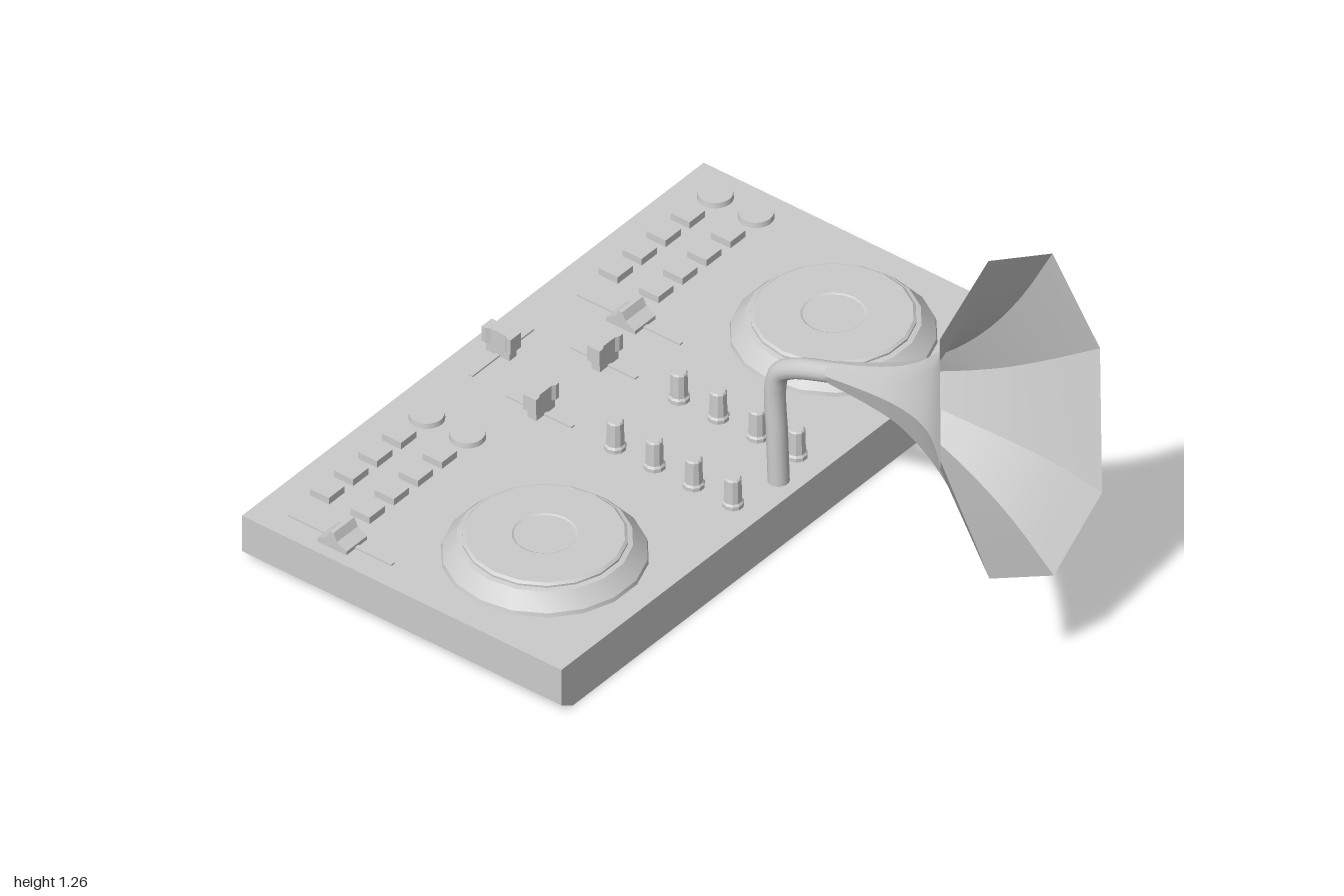
import * as THREE from 'three';
import { toCreasedNormals } from 'three/addons/utils/BufferGeometryUtils.js';

const TOP = 0.15; // height of the control surface
const v2 = (pts) => pts.map(([x, y]) => new THREE.Vector2(x, y));
const v3 = (pts) => pts.map((p) => new THREE.Vector3(...p));

function extrude(points, depth) {
  return new THREE.ExtrudeGeometry(new THREE.Shape(v2(points)), { depth, bevelEnabled: false });
}

// Eight creased panels, swept through top edge, bottom edge and half width
function hornGeometry() {
  const top = new THREE.CatmullRomCurve3(v3([[0.23, 0.655, 0], [0.36, 0.705, 0], [0.48, 0.765, 0],
    [0.58, 0.845, 0], [0.67, 0.96, 0], [0.73, 1.09, 0], [0.775, 1.26, 0]]));
  const bottom = new THREE.CatmullRomCurve3(v3([[0.245, 0.595, 0], [0.375, 0.597, 0], [0.51, 0.59, 0],
    [0.63, 0.55, 0], [0.74, 0.497, 0], [0.86, 0.42, 0], [1.0, 0.3, 0]]));
  const side = new THREE.CatmullRomCurve3(v3([[0.238, 0.632, 0.032], [0.368, 0.667, 0.055],
    [0.495, 0.702, 0.085], [0.605, 0.733, 0.125], [0.705, 0.76, 0.18], [0.795, 0.785, 0.255], [0.885, 0.81, 0.345]]));
  const steps = 18;
  const pos = [];
  const index = [];
  const corner = (t, k) => {
    const a = (k * Math.PI) / 4;
    const s = side.getPoint(t);
    const c = new THREE.Vector3(s.x, s.y, 0);
    const end = (Math.cos(a) >= 0 ? top : bottom).getPoint(t);
    const f = k % 2 ? 0.76 : Math.abs(Math.cos(a));
    const p = c.clone().lerp(end, f);
    p.z = s.z * Math.sin(a);
    return p;
  };
  for (let k = 0; k < 8; k++) {
    const base = pos.length / 3;
    for (let i = 0; i <= steps; i++) {
      pos.push(...corner(i / steps, k).toArray(), ...corner(i / steps, k + 1).toArray());
      if (i === steps) continue;
      const a = base + i * 2;
      index.push(a, a + 1, a + 2, a + 1, a + 3, a + 2);
    }
  }
  const g = new THREE.BufferGeometry();
  g.setAttribute('position', new THREE.Float32BufferAttribute(pos, 3));
  g.setIndex(index);
  g.computeVertexNormals();
  return g;
}

export function createModel() {
  const model = new THREE.Group();
  model.name = 'mixerWithHorn';
  const grey = new THREE.MeshStandardMaterial({ color: 0xcccccc });
  const flat = new THREE.MeshStandardMaterial({ color: 0xcccccc, flatShading: true });
  const open = new THREE.MeshStandardMaterial({ color: 0xcccccc, side: THREE.DoubleSide });
  const add = (name, geometry, x = 0, y = 0, z = 0, material = flat, parent = model) => {
    const m = new THREE.Mesh(geometry, material);
    m.name = name;
    m.position.set(x, y, z);
    parent.add(m);
    return m;
  };

  // Case, with its lower long ends chamfered
  const body = extrude([[-0.95, 0], [0.95, 0], [1, 0.03], [1, TOP], [-1, TOP], [-1, 0.03]], 1.1);
  body.rotateY(Math.PI / 2);
  add('case', body, -1, 0, 0);

  // Shared control shapes
  const platter = new THREE.LatheGeometry(v2([[0.283, 0], [0.28, 0.012], [0.24, 0.055], [0.226, 0.058],
    [0.226, 0.064], [0.218, 0.07], [0.09, 0.07], [0.085, 0.067], [0, 0.067]]), 18);
  const platterSmooth = toCreasedNormals(platter, 0.45);
  const pad = new THREE.BoxGeometry(0.066, 0.022, 0.066);
  const button = toCreasedNormals(new THREE.CylinderGeometry(0.048, 0.05, 0.016, 24), 0.6);
  const knob = new THREE.LatheGeometry(v2([[0.031, 0], [0.031, 0.012], [0.026, 0.018],
    [0.024, 0.09], [0.02, 0.095], [0, 0.095]]), 10);

  // Pitch slider cap: ridge profile running across the slot
  const ridge = extrude([[-0.05, 0], [0.05, 0], [0.05, 0.012], [0.018, 0.03], [0.006, 0.055],
    [-0.006, 0.055], [-0.018, 0.03], [-0.05, 0.012]], 0.09).translate(0, 0, -0.045);

  // Fader cap: waisted plan drawn upward, on a narrow stem
  const cap = extrude([[-0.022, -0.05], [0.022, -0.05], [0.022, -0.036], [0.015, -0.025], [0.015, 0.025],
    [0.022, 0.036], [0.022, 0.05], [-0.022, 0.05], [-0.022, 0.036], [-0.015, 0.025],
    [-0.015, -0.025], [-0.022, -0.036]], 0.05).rotateX(-Math.PI / 2).translate(0, 0.03, 0);
  const stem = new THREE.BoxGeometry(0.03, 0.03, 0.08).translate(0, 0.015, 0);
  const slot = (length) => new THREE.BoxGeometry(length, 0.006, 0.014);

  // Two identical decks
  for (const [name, z] of [['backDeck', -0.625], ['frontDeck', 0.625]]) {
    const deck = new THREE.Group();
    deck.name = name;
    deck.position.set(0, TOP, z);
    model.add(deck);
    add('platter', platterSmooth, -0.255, 0, 0, grey, deck);
    for (const x of [-0.88, -0.74]) {
      add('roundButton', button, x, 0.008, -0.275, grey, deck);
      for (let i = 0; i < 4; i++) add('pad', pad, x, 0.011, -0.155 + i * 0.104, flat, deck);
    }
    add('pitchSlot', slot(0.355), -0.723, 0.002, 0.293, flat, deck);
    add('pitchSlider', ridge, -0.72, 0, 0.293, flat, deck);
  }

  // Centre mixer: knobs, channel faders and crossfader
  for (const z of [-0.138, 0.138]) {
    for (let i = 0; i < 4; i++) add('knob', knob, -0.4 + i * 0.135, TOP, z);
    add('channelSlot', slot(0.225), -0.658, TOP + 0.002, z);
    add('channelStem', stem, -0.655, TOP, z);
    add('channelFader', cap, -0.655, TOP, z);
  }
  const cross = new THREE.Group();
  cross.name = 'crossfader';
  cross.position.set(-0.902, TOP, 0);
  cross.rotation.y = Math.PI / 2;
  model.add(cross);
  add('crossSlot', slot(0.265), 0, 0.002, 0, flat, cross);
  add('crossStem', stem, 0, 0, 0, flat, cross);
  add('crossCap', cap, 0, 0, 0, flat, cross);

  // Bent neck carrying the horn
  const path = new THREE.CatmullRomCurve3(v3([[0.053, 0.172, 0], [0.047, 0.33, 0], [0.041, 0.48, 0],
    [0.056, 0.54, 0], [0.105, 0.577, 0], [0.25, 0.632, 0]]));
  add('neck', new THREE.TubeGeometry(path, 36, 0.03, 14), 0, 0, 0, open);
  const foot = new THREE.CircleGeometry(0.03, 14).rotateX(Math.PI / 2);
  add('neckEnd', foot, 0.053, 0.172, 0, open);
  add('horn', hornGeometry(), 0, 0, 0, open);

  return model;
}
